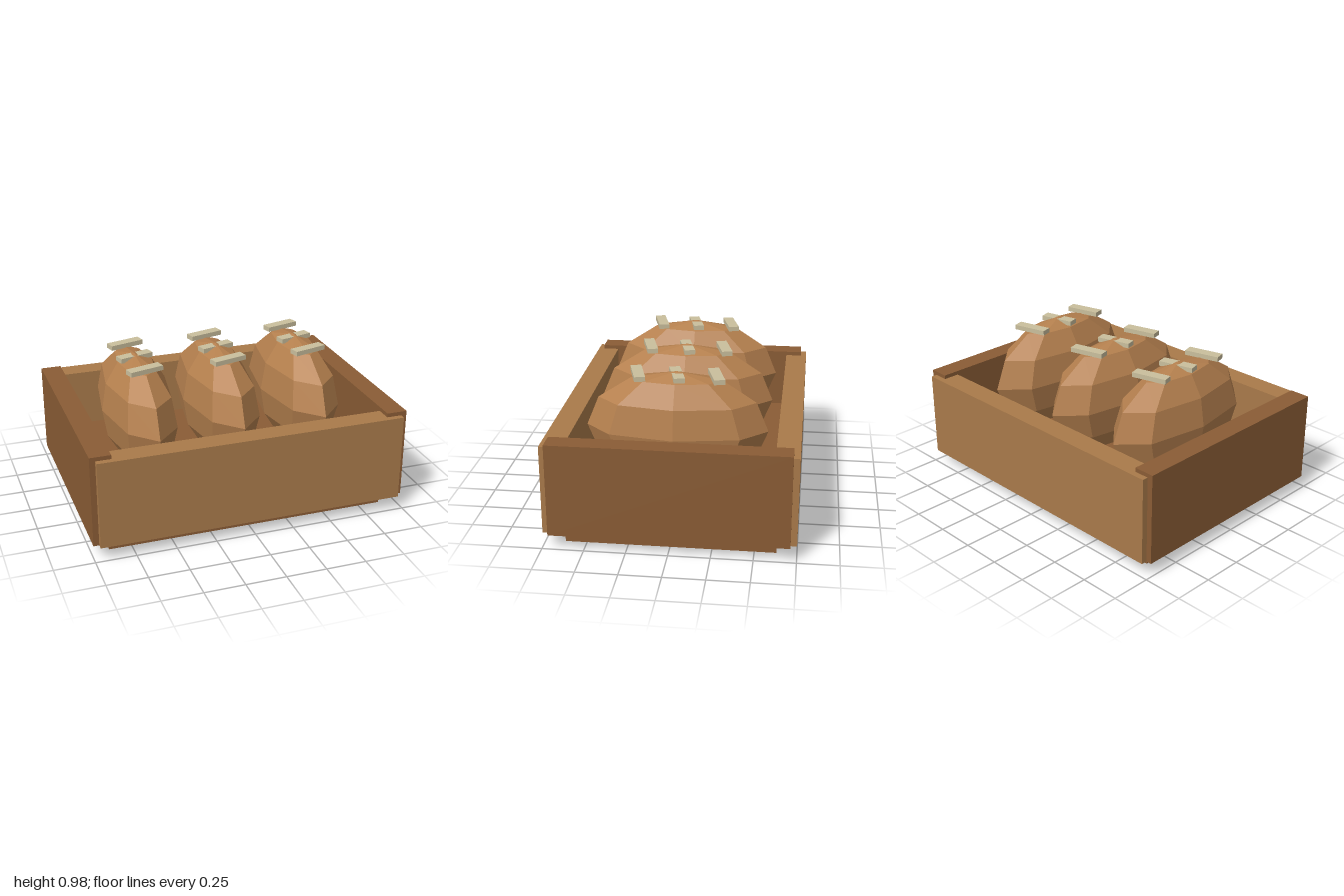
import * as THREE from 'three';

const mat = (name, color, flatShading = false) => {
  const m = new THREE.MeshStandardMaterial({ color, flatShading });
  m.name = name;
  return m;
};

export function createModel() {
  const crate = new THREE.Group();
  crate.name = 'breadCrate';
  const lightWood = mat('lightWood', 0xa97a4a);
  const darkWood = mat('darkWood', 0x8a5c35);
  const crust = mat('crust', 0xb5804e, true);
  const flour = mat('flour', 0xcabf9d);

  const box = (parent, name, material, size, pos, turn = 0) => {
    const mesh = new THREE.Mesh(new THREE.BoxGeometry(...size), material);
    mesh.name = name;
    mesh.position.set(...pos);
    mesh.rotation.y = turn;
    parent.add(mesh);
  };

  // Crate: inset base, long boards front and back, taller boards at the ends
  box(crate, 'base', darkWood, [1.78, 0.27, 1.26], [0, 0.135, 0]);
  for (const s of [1, -1]) {
    box(crate, s > 0 ? 'frontBoard' : 'backBoard', lightWood,
      [1.93, 0.55, 0.14], [0, 0.365, s * 0.68]);
    box(crate, s > 0 ? 'leftBoard' : 'rightBoard', darkWood,
      [0.13, 0.575, 1.425], [s * 0.935, 0.3775, 0]);
  }

  // Loaves: faceted ellipsoids with three slanted scores on top
  const loafShape = new THREE.SphereGeometry(1, 8, 6).scale(0.22, 0.36, 0.55);
  for (const x of [-0.533, 0, 0.533]) {
    const loaf = new THREE.Group();
    loaf.name = 'loaf';
    loaf.position.set(x, 0.62, 0);
    const body = new THREE.Mesh(loafShape, crust);
    body.name = 'loafBody';
    loaf.add(body);
    for (const z of [-0.235, 0, 0.235]) {
      box(loaf, 'score', flour, [0.222, 0.03, 0.066], [0, 0.337, z], 0.26);
    }
    crate.add(loaf);
  }
  return crate;
}
